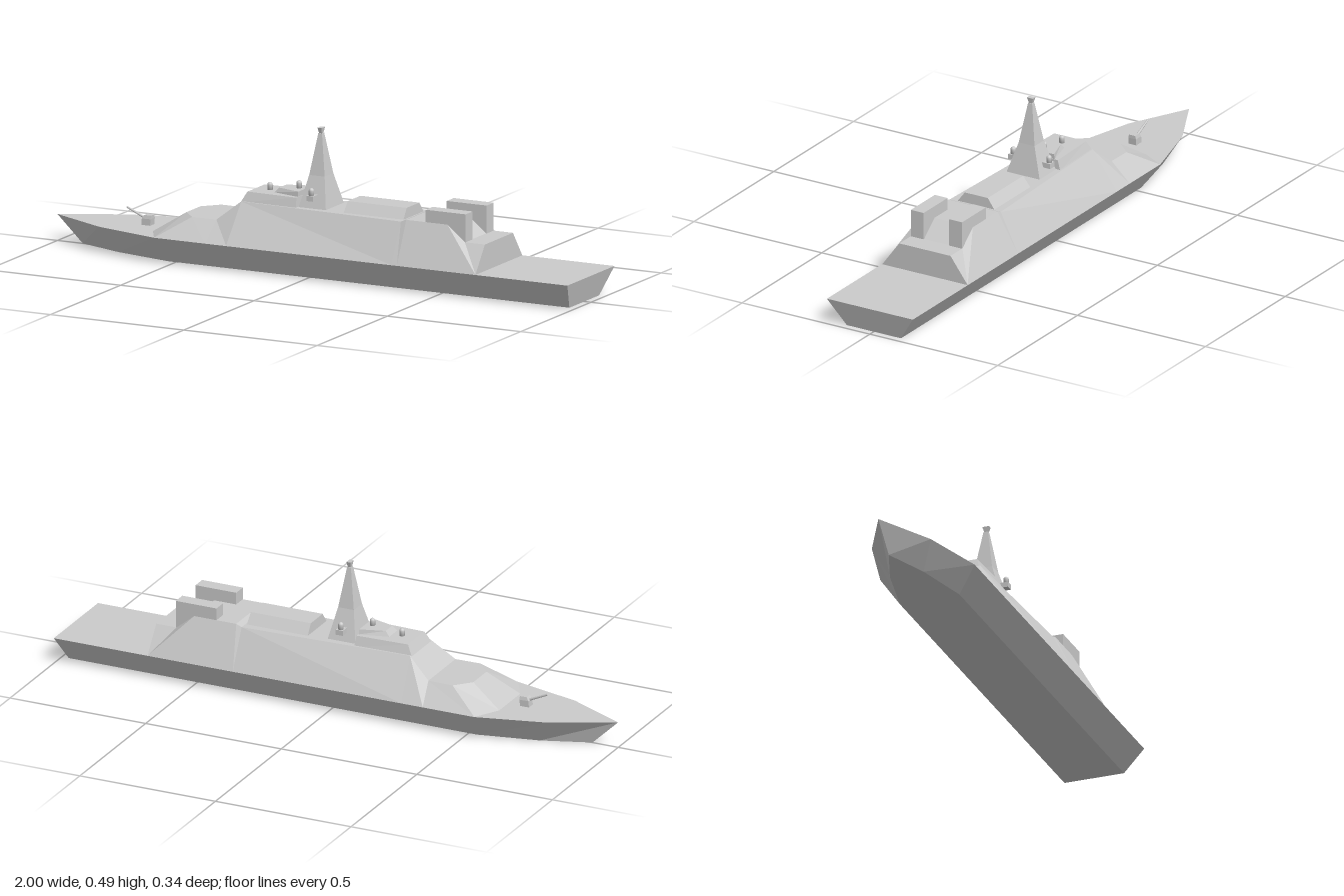
import * as THREE from 'three';

const material = new THREE.MeshStandardMaterial({ color: 0xcccccc, flatShading: true });
const smooth = new THREE.MeshStandardMaterial({ color: 0xcccccc });

// Skin a row of equal-length rings and close both ends.
// Rings run counter-clockwise around the direction of travel.
function loft(rings) {
  const pos = [];
  const tri = (a, b, c) => pos.push(...a, ...b, ...c);
  const n = rings[0].length;
  for (let r = 0; r < rings.length - 1; r++) {
    const a = rings[r], b = rings[r + 1];
    for (let i = 0; i < n; i++) {
      const j = (i + 1) % n;
      tri(a[i], a[j], b[j]);
      tri(a[i], b[j], b[i]);
    }
  }
  const first = rings[0], last = rings[rings.length - 1];
  for (let i = 1; i < n - 1; i++) {
    tri(first[0], first[i + 1], first[i]);
    tri(last[0], last[i], last[i + 1]);
  }
  const g = new THREE.BufferGeometry();
  g.setAttribute('position', new THREE.Float32BufferAttribute(pos, 3));
  g.computeVertexNormals();
  return g;
}

// Horizontal ring: front half width za at xa, rear half width zb at xb
const level = (y, xa, xb, za, zb = za) => [[xa, y, za], [xb, y, zb], [xb, y, -zb], [xa, y, -za]];

export function createModel() {
  const ship = new THREE.Group();
  ship.name = 'warship';
  const add = (name, geometry, x = 0, y = 0, z = 0, mat = material) => {
    const mesh = new THREE.Mesh(geometry, mat);
    mesh.name = name;
    mesh.position.set(x, y, z);
    ship.add(mesh);
    return mesh;
  };

  // Hull, from the flat bottom out to the deck edge
  const outline = (y, half) => [
    [half[0][0], y, 0],
    ...half.slice(1).map(([x, z]) => [x, y, z]),
    ...half.slice(1).reverse().map(([x, z]) => [x, y, -z]),
  ];
  add('hull', loft([
    outline(0, [[-0.905, 0], [-0.74, 0.06], [-0.53, 0.106], [0.975, 0.106]]),
    outline(0.09, [[-1, 0], [-0.79, 0.105], [-0.55, 0.168], [1, 0.168]]),
  ]));

  // Superstructure sections: base x, base half width, top x, top y, top half width
  const sections = [
    [-0.60, 0.08, -0.49, 0.16, 0.05],
    [-0.55, 0.167, -0.44, 0.16, 0.105],
    [-0.36, 0.167, -0.35, 0.16, 0.103],
    [-0.28, 0.167, -0.27, 0.225, 0.078],
    [0.34, 0.167, 0.34, 0.225, 0.1],
    [0.36, 0.167, 0.36, 0.233, 0.1],
    [0.655, 0.167, 0.515, 0.233, 0.1],
    [0.655, 0.167, 0.58, 0.18, 0.1],
    [0.655, 0.167, 0.655, 0.18, 0.1],
  ];
  add('superstructure', loft(sections.map(([xb, zb, xt, yt, zt]) =>
    [[xt, yt, zt], [xb, 0.09, zb], [xb, 0.09, -zb], [xt, yt, -zt]])));

  // Bridge with a raised roof panel
  add('bridge', loft([level(0.22, -0.275, -0.065, 0.075, 0.08), level(0.257, -0.255, -0.068, 0.062, 0.068)]));
  add('bridgeRoof', loft([level(0.257, -0.17, -0.07, 0.03, 0.055), level(0.274, -0.155, -0.07, 0.026, 0.052)]));

  // Deckhouse behind the mast
  add('deckhouse', loft([level(0.22, 0.11, 0.335, 0.075), level(0.26, 0.112, 0.333, 0.045)]));

  // Paired hangar blocks at the stern
  for (const s of [1, -1])
    add('hangarBlock', new THREE.BoxGeometry(0.15, 0.095, 0.05), 0.508, 0.2275, s * 0.075);

  // Tapered mast and flared cap
  const mx = -0.011;
  const square = (y, hx, hz) => level(y, mx - hx, mx + hx, hz);
  add('mast', loft([square(0.22, 0.052, 0.066), square(0.33, 0.029, 0.031), square(0.47, 0.007, 0.008)]));
  add('mastCap', loft([square(0.47, 0.005, 0.006), square(0.489, 0.008, 0.012)]));

  // Domed sensors on the roof and beside the mast
  const domeProfile = [new THREE.Vector2(0, 0), new THREE.Vector2(0.009, 0), new THREE.Vector2(0.009, 0.017)];
  for (let i = 1; i <= 5; i++) {
    const a = (i / 5) * Math.PI / 2;
    domeProfile.push(new THREE.Vector2(0.009 * Math.cos(a), 0.017 + 0.009 * Math.sin(a)));
  }
  const dome = new THREE.LatheGeometry(domeProfile, 16);
  add('sensorDome', dome, -0.203, 0.257, 0, smooth);
  add('sensorDome', dome, -0.094, 0.274, 0, smooth);
  for (const s of [1, -1]) {
    add('sensorDome', dome, mx, 0.27, s * 0.07, smooth);
    add('domeBracket', new THREE.BoxGeometry(0.026, 0.018, 0.05), mx, 0.262, s * 0.057);
  }

  // Bow gun: faceted turret and raised barrel
  add('gunTurret', loft([level(0.09, -0.678, -0.645, 0.015), level(0.112, -0.676, -0.643, 0.015),
    level(0.124, -0.668, -0.643, 0.012)]));
  const barrel = add('gunBarrel', new THREE.CylinderGeometry(0.0035, 0.0045, 0.08, 8), -0.703, 0.126, 0, smooth);
  barrel.rotation.z = 1.15;

  return ship;
}
